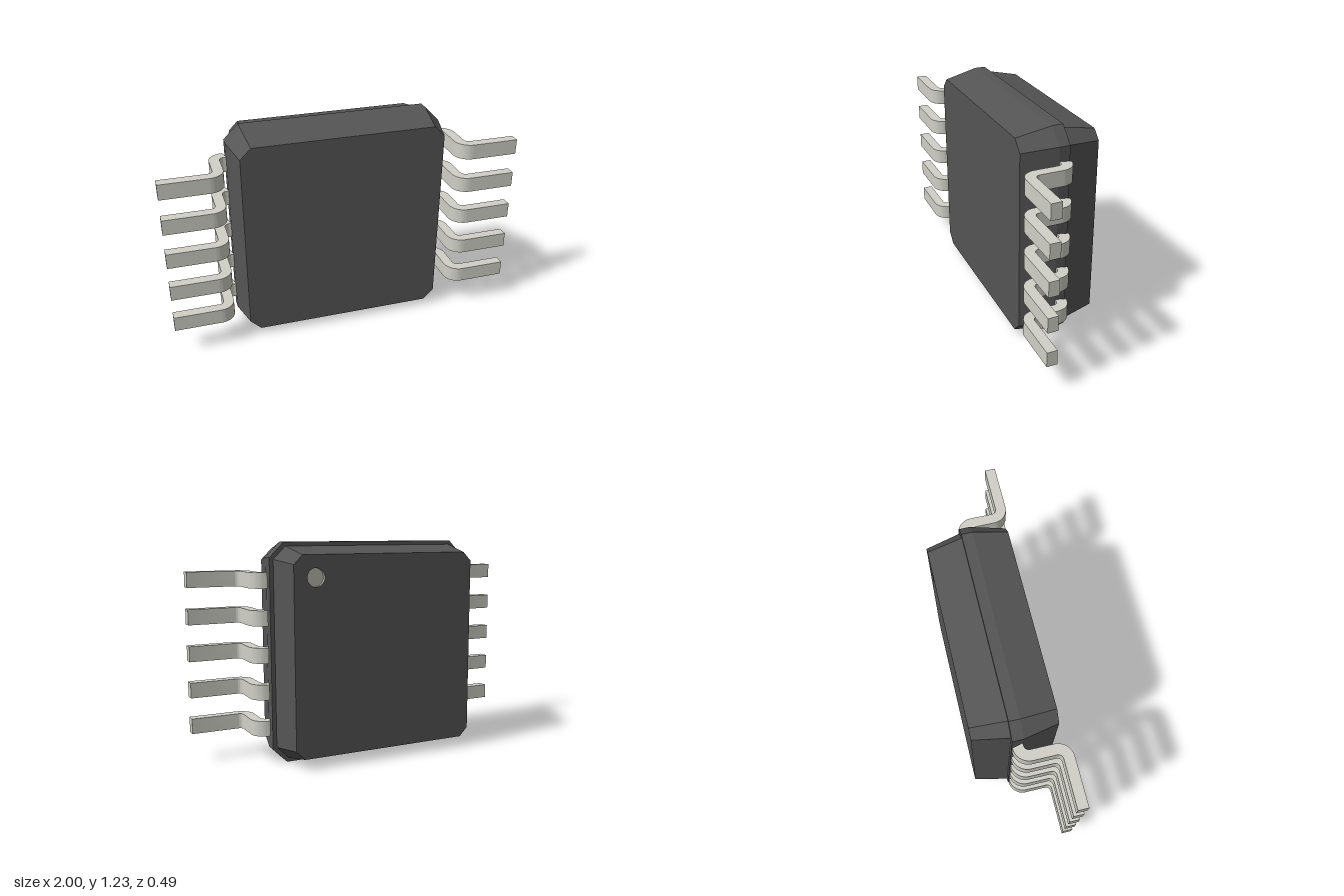
import * as THREE from 'three';
import { toCreasedNormals } from 'three/addons/utils/BufferGeometryUtils.js';

const MID_Y = 0.6125;
const bodyMat = new THREE.MeshStandardMaterial({ color: 0x555555, flatShading: true });
const leadMat = new THREE.MeshStandardMaterial({ color: 0xd0d0c8 });
const dimpleMat = new THREE.MeshStandardMaterial({ color: 0xb8b8ac, side: THREE.DoubleSide });

// Square of half size h with its corners cut by c, counter-clockwise
function octagon(h, c) {
  const k = h - c;
  return [[h, -k], [h, k], [k, h], [-k, h], [-h, k], [-h, -k], [-k, -h], [k, -h]]
    .map(([x, y]) => new THREE.Vector2(x, y));
}

// Side walls through layers [z, half size, corner cut], ordered front to back
function walls(layers) {
  const pos = [];
  for (let l = 0; l < layers.length - 1; l++) {
    const [zf, hf, cf] = layers[l], [zb, hb, cb] = layers[l + 1];
    const f = octagon(hf, cf), b = octagon(hb, cb);
    for (let i = 0; i < 8; i++) {
      const j = (i + 1) % 8;
      for (const [p, z] of [[b[i], zb], [b[j], zb], [f[j], zf], [b[i], zb], [f[j], zf], [f[i], zf]])
        pos.push(p.x, p.y, z);
    }
  }
  const g = new THREE.BufferGeometry();
  g.setAttribute('position', new THREE.Float32BufferAttribute(pos, 3));
  g.computeVertexNormals();
  return g;
}

// Flat end face; back faces are turned around, with an optional round hole
function cap([z, h, c], back, hole) {
  const s = new THREE.Shape(octagon(h, c));
  if (hole) s.holes.push(new THREE.Path().absarc(-hole.x, hole.y, hole.r, 0, Math.PI * 2, true));
  const g = new THREE.ShapeGeometry(s, 16);
  if (back) g.rotateY(Math.PI);
  return g.translate(0, 0, z);
}

function shell(name, layers, hole) {
  const group = new THREE.Group();
  group.name = name;
  const add = (part, geo) => {
    const m = new THREE.Mesh(geo, bodyMat);
    m.name = part;
    group.add(m);
  };
  add('sides', walls(layers));
  add('frontFace', cap(layers[0], false));
  add('backFace', cap(layers[layers.length - 1], true, hole));
  return group;
}

// Gull-wing lead: bent strip profile in x and -z, extruded along y
function leadGeometry() {
  const w = 0.086, R = 0.085, r = 0.027, P = Math.PI;
  const s = new THREE.Shape();
  s.moveTo(0.61, 0.05);
  s.absarc(0.625, -0.035, R, P / 2, 0, true);
  s.absarc(0.737, -0.16, r, P, P * 1.5, false);
  s.lineTo(1, -0.187);
  s.lineTo(1, -0.245);
  s.absarc(0.737, -0.16, R, P * 1.5, P, true);
  s.absarc(0.625, -0.035, r, 0, P / 2, false);
  s.lineTo(0.61, -0.008);
  const g = new THREE.ExtrudeGeometry(s, { depth: w, bevelEnabled: false, curveSegments: 8 });
  g.translate(0, 0, -w / 2).rotateX(-P / 2);
  return toCreasedNormals(g, 0.6);
}

export function createModel() {
  const model = new THREE.Group();
  model.name = 'chipPackage';

  // Two tapered halves of the casing, the back one slightly smaller
  const hole = { x: 0.425, y: 0.43, r: 0.05 }, depth = 0.02;
  const body = new THREE.Group();
  body.name = 'body';
  body.position.y = MID_Y;
  body.add(shell('frontHalf', [[0.203, 0.57, 0.06], [0.01, 0.6125, 0.083], [-0.05, 0.6125, 0.083]]));
  body.add(shell('backHalf', [[-0.05, 0.59, 0.07], [-0.245, 0.55, 0.05]], hole));

  // Round orientation mark sunk into the back face
  const rim = new THREE.Mesh(
    new THREE.CylinderGeometry(hole.r, hole.r, depth, 32, 1, true).rotateX(Math.PI / 2), dimpleMat);
  rim.name = 'markRim';
  rim.position.set(hole.x, hole.y, -0.245 + depth / 2);
  const floor = new THREE.Mesh(new THREE.CircleGeometry(hole.r, 32).rotateY(Math.PI), dimpleMat);
  floor.name = 'markFloor';
  floor.position.set(hole.x, hole.y, -0.245 + depth);
  body.add(rim, floor);
  model.add(body);

  // Five leads on each side
  const geo = leadGeometry();
  for (const side of ['left', 'right']) {
    for (let i = 0; i < 5; i++) {
      const lead = new THREE.Mesh(geo, leadMat);
      lead.name = `${side}Lead${i + 1}`;
      lead.position.y = MID_Y + (i - 2) * 0.204;
      if (side === 'right') lead.rotation.z = Math.PI;
      model.add(lead);
    }
  }
  return model;
}
